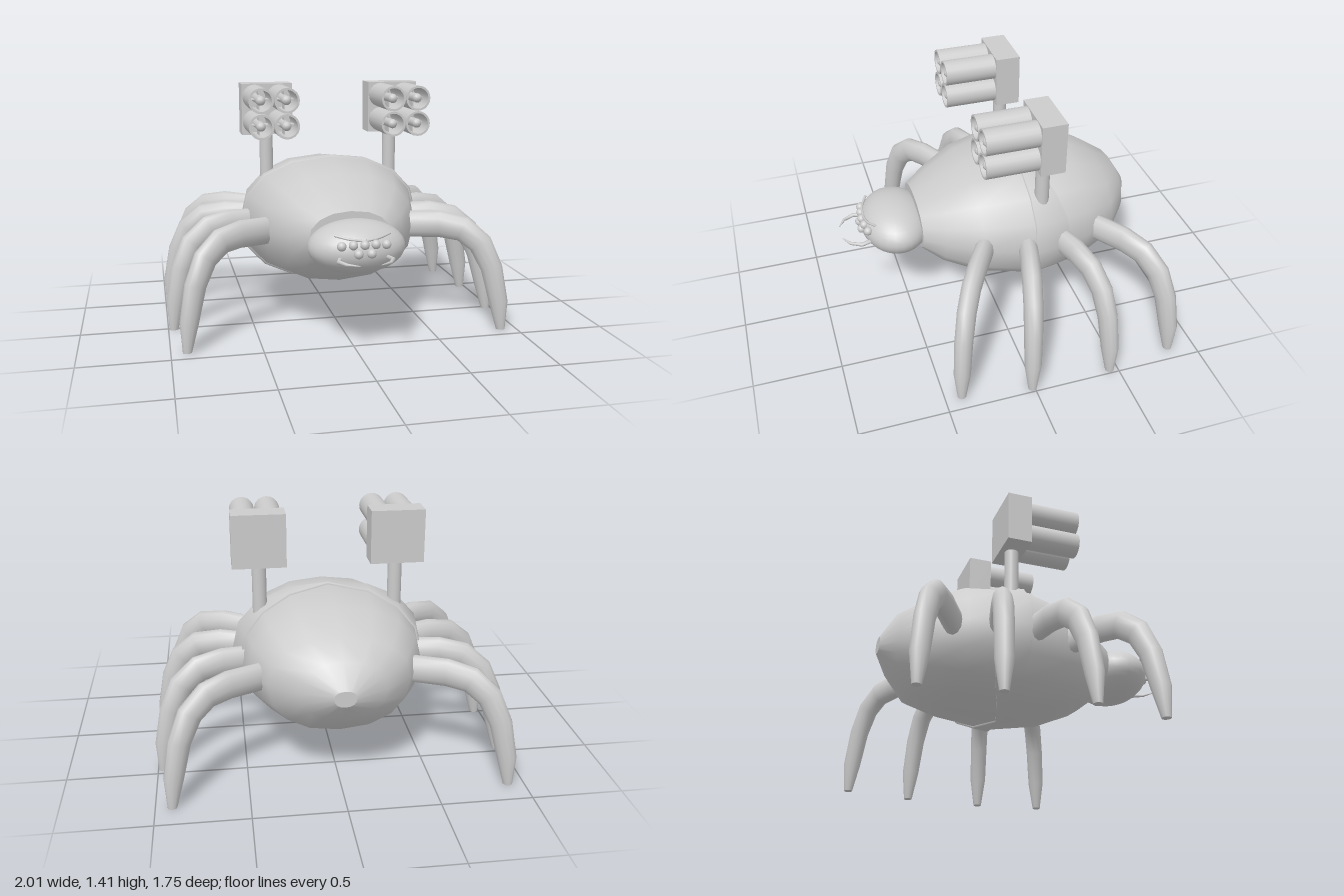
import * as THREE from 'three';

const grey = new THREE.MeshStandardMaterial({ color: 0xcccccc, side: THREE.DoubleSide });
const V = (x, y, z) => new THREE.Vector3(x, y, z);

function add(parent, name, geometry, x = 0, y = 0, z = 0) {
  const mesh = new THREE.Mesh(geometry, grey);
  mesh.name = name;
  mesh.position.set(x, y, z);
  parent.add(mesh);
  return mesh;
}

// Skin a list of rings, each counter-clockwise about the direction of travel
function loft(rings, capped = true) {
  const n = rings[0].length, pos = [], index = [];
  const push = p => pos.push(p.x, p.y, p.z) / 3 - 1;
  rings.forEach(ring => ring.forEach(push));
  for (let i = 0; i < rings.length - 1; i++) {
    for (let j = 0; j < n; j++) {
      const a = i * n + j, b = i * n + (j + 1) % n;
      index.push(a, b, a + n, b, b + n, a + n);
    }
  }
  if (capped) {
    [rings[0], rings[rings.length - 1]].forEach((ring, end) => {
      const centre = ring.reduce((s, p) => s.add(p), V(0, 0, 0)).divideScalar(n);
      const c = push(centre);
      ring.forEach(push);
      for (let j = 0; j < n; j++) {
        const a = c + 1 + j, b = c + 1 + (j + 1) % n;
        index.push(c, ...(end ? [a, b] : [b, a]));
      }
    });
  }
  const g = new THREE.BufferGeometry();
  g.setAttribute('position', new THREE.Float32BufferAttribute(pos, 3));
  g.setIndex(index);
  g.computeVertexNormals();
  return g;
}

// Body sections from rear to front: z, half width, top, bottom
const sections = [
  [-0.88, 0.06, 0.64, 0.55], [-0.8, 0.235, 0.77, 0.45], [-0.67, 0.385, 0.845, 0.31],
  [-0.48, 0.485, 0.945, 0.27], [-0.16, 0.54, 0.975, 0.235], [0.13, 0.45, 0.915, 0.28],
  [0.32, 0.335, 0.82, 0.36], [0.43, 0.24, 0.76, 0.45],
];
const SIDES = 16;

// Point on the body surface at depth z and angle t
function bodyPoint(z, t, grow = 0) {
  let i = 0;
  while (i < sections.length - 2 && z > sections[i + 1][0]) i++;
  const A = sections[i], B = sections[i + 1], k = (z - A[0]) / (B[0] - A[0]);
  const [w, top, bottom] = [1, 2, 3].map(c => THREE.MathUtils.lerp(A[c], B[c], k));
  const bulge = v => Math.sign(v) * Math.abs(v) ** 0.9;
  const mid = 0.6, s = bulge(Math.sin(t));
  return V(bulge(Math.cos(t)) * (w + grow), mid + s * ((s > 0 ? top - mid : mid - bottom) + grow), z);
}
const bodyRing = (zAt, grow) => Array.from({ length: SIDES }, (_, j) => {
  const t = j / SIDES * Math.PI * 2;
  return bodyPoint(zAt(t), t, grow);
});

// Leg swept from hip to foot; along = fraction of the reach
const legProfile = [ // along, height, half width, half depth
  [0, 0.6, 0.055, 0.08], [0.34, 0.61, 0.055, 0.08], [0.57, 0.59, 0.055, 0.077],
  [0.75, 0.51, 0.054, 0.072], [0.87, 0.37, 0.052, 0.064], [0.95, 0.17, 0.048, 0.055],
  [0.98, 0.005, 0.024, 0.026],
];
function legGeometry(hip, foot) {
  const reach = foot.clone().sub(hip), u = reach.clone().normalize();
  const side = V(0, 1, 0).cross(u);
  const centres = legProfile.map(([f, y]) => hip.clone().addScaledVector(reach, f).setY(y));
  return loft(legProfile.map(([, , a, b], i) => {
    const d = centres[Math.min(i + 1, 6)].clone().sub(centres[Math.max(i - 1, 0)]).normalize();
    if (i === 6) d.set(0, -1, 0);
    const n = d.clone().cross(side);
    return Array.from({ length: 12 }, (_, j) => {
      const t = j / 12 * Math.PI * 2;
      return centres[i].clone().addScaledVector(side, a * Math.cos(t)).addScaledVector(n, b * Math.sin(t));
    });
  }));
}

// Four open tubes with a finned rocket in each, on a box and a post
function launcher(x) {
  const g = new THREE.Group();
  g.name = 'launcher';
  g.position.x = x;
  add(g, 'post', new THREE.CylinderGeometry(0.04, 0.04, 0.3, 16), 0, 0.98, -0.22);
  add(g, 'launcherBox', new THREE.BoxGeometry(0.3, 0.3, 0.14), 0, 1.27, -0.22);
  const wall = [[0.072, 0], [0.072, 0.295], [0.06, 0.295], [0.06, 0.02]];
  // Doubled corners keep the rim sharp
  const profile = wall.flatMap(([r, y]) => [new THREE.Vector2(r, y), new THREE.Vector2(r, y)]);
  const tube = new THREE.LatheGeometry(profile, 20).rotateX(Math.PI / 2);
  const rocket = new THREE.CylinderGeometry(0.026, 0.026, 0.26, 12).rotateX(Math.PI / 2);
  for (const dx of [-0.073, 0.073]) for (const dy of [-0.073, 0.073]) {
    const y = 1.27 + dy;
    add(g, 'launchTube', tube, dx, y, -0.15);
    add(g, 'rocket', rocket, dx, y, -0.015);
    add(g, 'rocketTip', new THREE.SphereGeometry(0.027, 12, 8), dx, y, 0.118);
    add(g, 'finUpright', new THREE.BoxGeometry(0.005, 0.115, 0.08), dx, y, 0);
    add(g, 'finFlat', new THREE.BoxGeometry(0.115, 0.005, 0.08), dx, y, 0);
  }
  return g;
}

export function createModel() {
  const model = new THREE.Group();

  // Body and the raised band around its middle
  add(model, 'body', loft(sections.map(([z]) => bodyRing(() => z))));
  const rear = t => -0.18 - 0.18 * Math.abs(Math.cos(t));
  add(model, 'bodyBand', loft([
    bodyRing(rear, 0), bodyRing(rear, 0.012), bodyRing(() => -0.155, 0.012), bodyRing(() => -0.15, 0),
  ], false));

  // Head
  add(model, 'head', new THREE.SphereGeometry(1, 28, 18).scale(0.268, 0.145, 0.2), 0, 0.595, 0.55);

  // Eyes
  const eyes = [[0, 0.645, 0.74], [-0.06, 0.645, 0.735], [0.06, 0.645, 0.735],
    [-0.12, 0.64, 0.725], [0.12, 0.64, 0.725], [-0.035, 0.6, 0.75], [0.035, 0.6, 0.75]];
  for (const [x, y, z] of eyes) add(model, 'eye', new THREE.SphereGeometry(0.025, 14, 10), x, y, z);

  for (const s of [-1, 1]) {
    // Brows and curved fangs
    const brow = new THREE.CatmullRomCurve3([V(s * 0.15, 0.69, 0.685), V(s * 0.08, 0.675, 0.72), V(s * 0.01, 0.665, 0.73)]);
    add(model, 'brow', new THREE.TubeGeometry(brow, 8, 0.007, 6));
    const fang = [[0.125, 0.71, 0.012], [0.145, 0.77, 0.012], [0.115, 0.83, 0.009], [0.055, 0.868, 0.002]];
    add(model, 'fang', loft(fang.map(([x, z, r], i) => {
      const a = fang[Math.max(i - 1, 0)], b = fang[Math.min(i + 1, 3)];
      const d = V(s * (b[0] - a[0]), 0, b[1] - a[1]).normalize();
      const side = V(0, 1, 0).cross(d);
      return Array.from({ length: 8 }, (_, j) => {
        const t = j / 8 * Math.PI * 2;
        return V(s * x, 0.57 - r * Math.sin(t), z).addScaledVector(side, -r * Math.cos(t));
      }).reverse();
    })));

    // Legs, front to rear: hip x, hip z, foot x, foot z
    for (const [hx, hz, fx, fz] of [[0.42, 0.12, 0.92, 0.41], [0.43, -0.13, 0.98, 0.015],
      [0.43, -0.31, 0.98, -0.455], [0.42, -0.56, 0.92, -0.85]]) {
      add(model, 'leg', legGeometry(V(s * hx, 0, hz), V(s * fx, 0, fz)));
    }
  }

  model.add(launcher(-0.375), launcher(0.39));
  return model;
}
